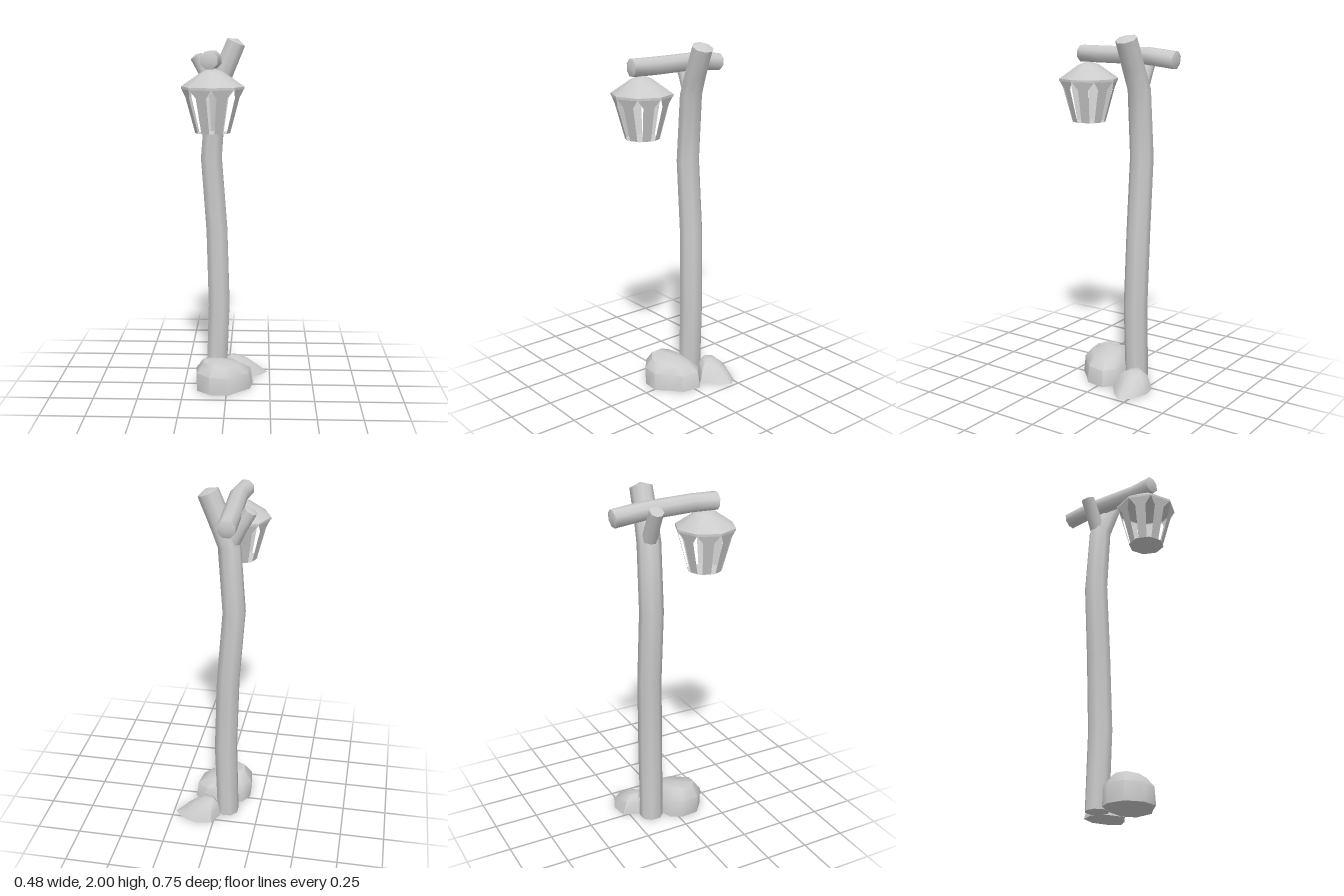
import * as THREE from 'three';
import { toCreasedNormals } from 'three/addons/utils/BufferGeometryUtils.js';

const material = new THREE.MeshStandardMaterial({ color: 0xcccccc });
const thin = new THREE.MeshStandardMaterial({ color: 0xcccccc, side: THREE.DoubleSide });

function addMesh(parent, name, geometry, mat = material) {
  const mesh = new THREE.Mesh(geometry, mat);
  mesh.name = name;
  parent.add(mesh);
  return mesh;
}

// Joins equal-sized rings of points into a skin, closed by a start and an end point
function skin(rings, start, end, crease = 0.9) {
  const n = rings[0].length;
  const points = [...rings.flat(), start, end];
  const s = points.length - 2, e = s + 1, last = (rings.length - 1) * n;
  const index = [];
  for (let j = 0; j < n; j++) {
    const k = (j + 1) % n;
    for (let a = 0; a < last; a += n) {
      index.push(a + j, a + k, a + n + k, a + j, a + n + k, a + n + j);
    }
    index.push(s, k, j, e, last + j, last + k);
  }
  const g = new THREE.BufferGeometry().setFromPoints(points);
  g.setIndex(index);
  return toCreasedNormals(g, crease);
}

// Wooden limb: path entries are [x, y, z, radius]; ends are slightly pointed
function limb(path, side, tip = 0.02, squash = 1) {
  const p = path.map(q => new THREE.Vector3(q[0], q[1], q[2]));
  const rings = p.map((c, i) => {
    const t = p[Math.min(i + 1, p.length - 1)].clone().sub(p[Math.max(i - 1, 0)]).normalize();
    const v = new THREE.Vector3().crossVectors(t, side).normalize();
    const u = new THREE.Vector3().crossVectors(v, t);
    return Array.from({ length: 8 }, (_, j) => {
      const a = (j + 0.5) * Math.PI / 4, r = path[i][3];
      return c.clone().addScaledVector(u, r * squash * Math.cos(a)).addScaledVector(v, r * Math.sin(a));
    });
  });
  const beyond = (a, b) => a.clone().addScaledVector(a.clone().sub(b).normalize(), tip);
  const n = p.length - 1;
  return skin(rings, path[0][1] === 0 ? p[0].clone() : beyond(p[0], p[1]), beyond(p[n], p[n - 1]));
}

// Rock: a ground outline [x, z] repeated in layers [y, scale, shiftX, shiftZ, tilt]
function rock(outline, layers, peak) {
  const cx = outline.reduce((s, o) => s + o[0], 0) / outline.length;
  const cz = outline.reduce((s, o) => s + o[1], 0) / outline.length;
  const rings = layers.map(([y, s, dx, dz, tilt]) => outline.map(([x, z]) =>
    new THREE.Vector3(cx + (x - cx) * s + dx, y + (x - cx) * tilt, cz + (z - cz) * s + dz)));
  return skin(rings, new THREE.Vector3(cx, 0, cz), new THREE.Vector3(...peak), 0.85);
}

function createLantern() {
  const lantern = new THREE.Group();
  lantern.name = 'lantern';
  lantern.position.set(-0.07, 0, 0.202);

  // Eight-sided roof, hollow underneath
  const profile = [[0.17, 1.733], [0.17, 1.746], [0.06, 1.822], [0, 1.845]];
  const roof = new THREE.LatheGeometry(profile.map(q => new THREE.Vector2(...q)), 8);
  addMesh(lantern, 'lanternRoof', toCreasedNormals(roof, 0.75), thin);

  // Flared strips on the eight faces: [y, distance from axis, half width]
  const rows = [[1.5, 0.092, 0.023], [1.69, 0.143, 0.03], [1.735, 0.155, 0.064]];
  const verts = rows.flatMap(([y, d, w]) => [-w, y, d, w, y, d]);
  for (let i = 0; i < 8; i++) {
    const g = new THREE.BufferGeometry();
    g.setAttribute('position', new THREE.Float32BufferAttribute(verts, 3));
    g.setIndex([0, 1, 3, 0, 3, 2, 2, 3, 5, 2, 5, 4]);
    g.computeVertexNormals();
    addMesh(lantern, 'lanternStrut', g, thin).rotation.y = (i + 0.5) * Math.PI / 4;
  }

  // Floor plate
  const floor = new THREE.CircleGeometry(0.1, 8);
  floor.rotateX(-Math.PI / 2);
  addMesh(lantern, 'lanternFloor', floor, thin).position.y = 1.5;
  return lantern;
}

export function createModel() {
  const model = new THREE.Group();
  model.name = 'lanternPost';
  const X = new THREE.Vector3(1, 0, 0);

  // Crooked trunk, continuing into the thicker fork
  addMesh(model, 'post', limb([
    [-0.067, 0, -0.135, 0.068], [-0.052, 0.45, -0.132, 0.07], [-0.065, 0.9, -0.14, 0.069],
    [-0.096, 1.32, -0.14, 0.068], [-0.068, 1.7, -0.138, 0.066], [-0.02, 1.82, -0.13, 0.064],
    [0.046, 1.975, -0.125, 0.062],
  ], X, 0.022, 0.94));

  // Thinner fork
  addMesh(model, 'forkBranch', limb([
    [-0.065, 1.68, -0.142, 0.045], [-0.13, 1.81, -0.146, 0.041], [-0.18, 1.897, -0.148, 0.039],
  ], X, 0.012));

  // Beam resting in the fork
  addMesh(model, 'beam', limb([
    [-0.088, 1.884, 0.258, 0.05], [-0.072, 1.884, 0.115, 0.05],
    [-0.088, 1.882, -0.18, 0.05], [-0.09, 1.864, -0.356, 0.05],
  ], X));

  model.add(createLantern());

  // Rocks at the foot
  addMesh(model, 'largeRock', rock(
    [[-0.178, 0.02], [-0.17, 0.12], [-0.09, 0.185], [0.01, 0.19], [0.075, 0.125], [0.135, 0.075],
      [0.15, -0.035], [0.085, -0.09], [-0.04, -0.085], [-0.14, -0.045]],
    [[0, 1, 0, 0, 0], [0.1, 0.96, -0.008, 0.003, -0.04], [0.15, 0.65, -0.015, 0.01, -0.1]],
    [-0.05, 0.17, 0.04]));
  addMesh(model, 'smallRock', rock(
    [[-0.03, -0.2], [0.01, -0.13], [0.105, -0.08], [0.195, -0.15], [0.237, -0.205],
      [0.195, -0.26], [0.1, -0.3], [0.01, -0.285]],
    [[0, 1, 0, 0, 0], [0.06, 0.78, -0.015, 0.005, -0.18], [0.095, 0.45, -0.03, 0.01, -0.12]],
    [0.065, 0.11, -0.185]));
  return model;
}
